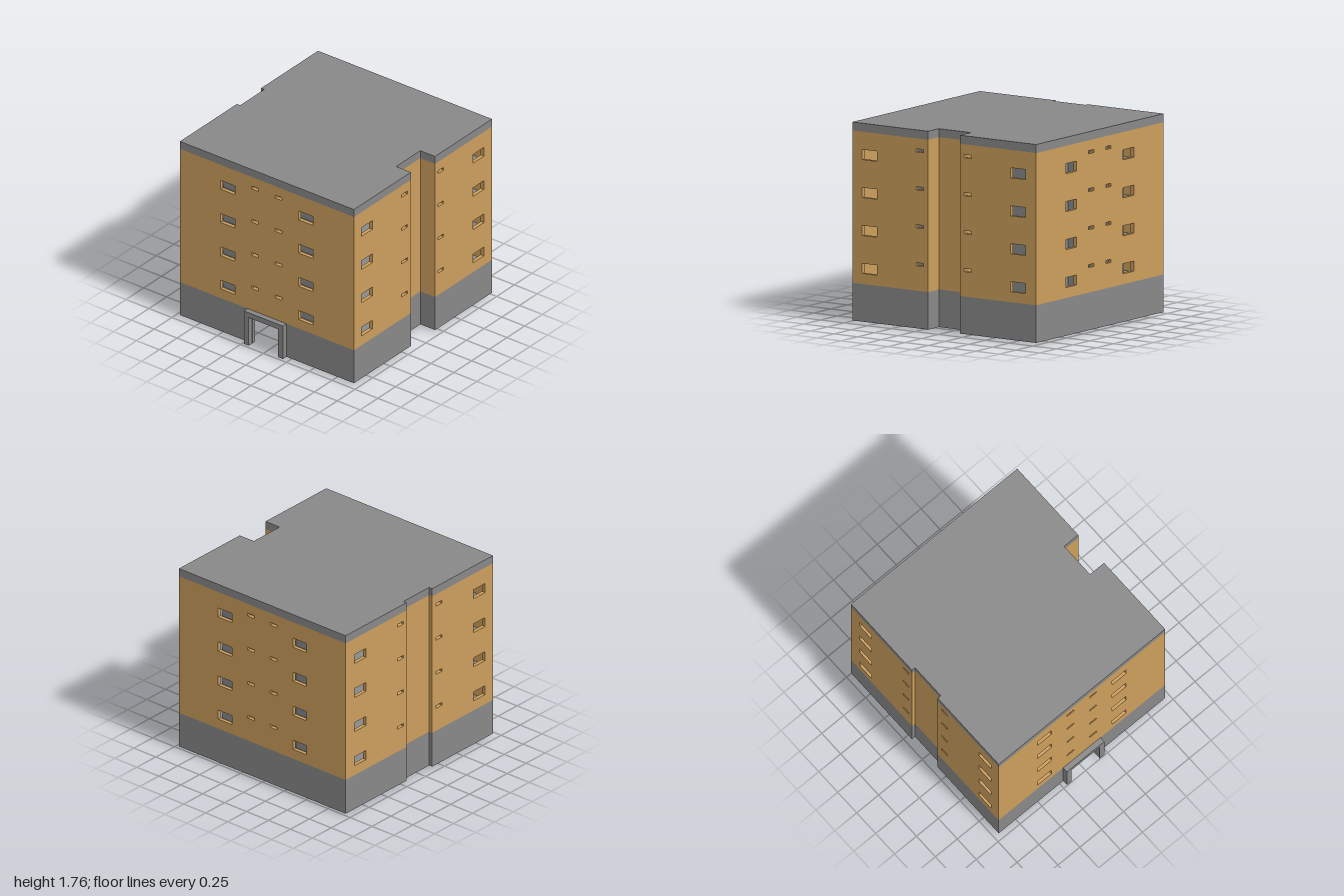
import * as THREE from 'three';

const WALL = 0.035;
const BOTTOM = 0.02, BASE_TOP = 0.35, BAND = 1.685, TOP = 1.76;
const LEVEL = 0.333;

// Footprint as [x, z] corners, shrunk inward by e
const footprint = (e = 0) => [
  [-0.95 + e, 0.95 - e], [-0.145 - e, 0.95 - e], [-0.145 - e, 0.79 - e],
  [0.195 + e, 0.79 - e], [0.195 + e, 0.95 - e], [1 - e, 0.95 - e],
  [1 - e, -0.95 + e], [0.195 + e, -0.95 + e], [0.195 + e, -0.915 + e],
  [-0.145 - e, -0.915 + e], [-0.145 - e, -0.95 + e], [-0.95 + e, -0.95 + e],
];

export function createModel() {
  const grey = new THREE.MeshStandardMaterial({ color: 0x888888 });
  grey.name = 'concrete grey';
  const tan = new THREE.MeshStandardMaterial({ color: 0xcb9e5c });
  tan.name = 'ochre render';
  const model = new THREE.Group();
  model.name = 'apartmentBlock';

  const add = (name, geometry, material) => {
    const mesh = new THREE.Mesh(geometry, material);
    mesh.name = name;
    model.add(mesh);
    return mesh;
  };

  // Box given by its limits on each axis
  const box = (name, x0, x1, y0, y1, z0, z1) => {
    const g = new THREE.BoxGeometry(x1 - x0, y1 - y0, z1 - z0);
    g.translate((x0 + x1) / 2, (y0 + y1) / 2, (z0 + z1) / 2);
    return add(name, g, grey);
  };

  // Horizontal slab following the footprint
  const slab = (name, y0, y1, e) => {
    const shape = new THREE.Shape(footprint(e).map(([x, z]) => new THREE.Vector2(x, -z)));
    const g = new THREE.ExtrudeGeometry(shape, { depth: y1 - y0, bevelEnabled: false });
    g.rotateX(-Math.PI / 2);
    g.translate(0, y0, 0);
    return add(name, g, grey);
  };

  const rect = (path, x0, x1, y0, y1) =>
    path.moveTo(x0, y0).lineTo(x1, y0).lineTo(x1, y1).lineTo(x0, y1).closePath();

  // Upright wall from p to q, thickened inward; holes are [u0, u1, y0, y1]
  const wall = (name, material, p, q, y0, y1, holes = []) => {
    const dx = q[0] - p[0], dz = q[1] - p[1];
    const shape = rect(new THREE.Shape(), 0, Math.hypot(dx, dz), y0, y1);
    for (const h of holes) shape.holes.push(rect(new THREE.Path(), ...h));
    const g = new THREE.ExtrudeGeometry(shape, { depth: WALL, bevelEnabled: false });
    g.translate(0, 0, -WALL);
    g.rotateY(Math.atan2(-dz, dx));
    g.translate(p[0], 0, p[1]);
    return add(name, g, material);
  };

  // Window spans along x (front and back) and along z (both sides)
  const spansX = { large: [[-0.845, -0.69], [0.73, 0.885]], small: [[-0.275, -0.195], [0.235, 0.315]] };
  const spansZ = { large: [[-0.505, -0.347], [0.347, 0.505]], small: [[-0.167, -0.09], [0.09, 0.167]] };

  // Window holes that fall on the wall from p to q
  const windows = (p, q) => {
    const axis = Math.abs(q[0] - p[0]) > Math.abs(q[1] - p[1]) ? 0 : 1;
    const spans = axis === 0 ? spansX : spansZ;
    const lo = Math.min(p[axis], q[axis]), hi = Math.max(p[axis], q[axis]);
    const holes = [];
    for (const kind of ['large', 'small']) {
      for (const [a, b] of spans[kind]) {
        if (a < lo || b > hi) continue;
        const u = [Math.abs(a - p[axis]), Math.abs(b - p[axis])].sort((m, n) => m - n);
        for (let i = 0; i < 4; i++) {
          const y = LEVEL * i + (kind === 'large' ? 0.442 : 0.568);
          holes.push([u[0], u[1], y, y + (kind === 'large' ? 0.088 : 0.027)]);
        }
      }
    }
    return holes;
  };

  // Outer walls: ochre storeys over a grey ground floor
  const corners = footprint();
  corners.forEach((p, i) => {
    const q = corners[(i + 1) % corners.length];
    const long = Math.hypot(q[0] - p[0], q[1] - p[1]) > 0.5;
    wall('upperWall', tan, p, q, BASE_TOP, BAND, long ? windows(p, q) : []);
    if (i < corners.length - 1) wall('groundWall', grey, p, q, BOTTOM, BASE_TOP);
  });
  // Ground wall on the gateway side, split round the opening
  wall('groundWallBack', grey, [-0.95, -0.95], [-0.95, -0.16], BOTTOM, BASE_TOP);
  wall('groundWallFront', grey, [-0.95, 0.16], [-0.95, 0.95], BOTTOM, BASE_TOP);
  wall('gatewayLintel', grey, [-0.95, -0.16], [-0.95, 0.16], 0.3, BASE_TOP);

  // Gateway surround
  box('gatewayBeam', -1, -0.95, 0.3, BASE_TOP, -0.213, 0.213);
  for (const s of [-1, 1]) {
    box('gatewayPost', -1, -0.95, BOTTOM, 0.3, s * 0.187 - 0.026, s * 0.187 + 0.026);
  }

  // Roof and storey floors
  slab('roof', BAND, TOP, 0);
  for (let i = 0; i < 4; i++) {
    const y = BASE_TOP + LEVEL * i;
    slab('floorSlab', y - 0.02, y, 0.02);
  }

  // Rooms of the upper storeys, either side of an open cross corridor
  for (const s of [-1, 1]) {
    const span = (a, b) => (s > 0 ? [a, b] : [-b, -a]);
    box('corridorWall', -0.92, 0.97, BASE_TOP, BAND, ...span(0.22, 0.24));
    box('innerRooms', -0.785, 0.83, BASE_TOP, BAND, ...span(0.24, 0.6));
  }

  // Ground floor partitions
  box('longPartition', 0.2, 0.225, BOTTOM, 0.34, -0.92, 0.78);
  box('storeFrontWall', -0.92, -0.1, BOTTOM, 0.34, -0.63, -0.605);
  box('storeSideWall', -0.17, -0.145, BOTTOM, 0.34, -0.92, -0.63);
  box('entranceWall', -0.17, -0.145, BOTTOM, 0.34, 0.38, 0.78);

  // Entrance threshold
  box('threshold', -0.18, 0.225, 0, BOTTOM, 0.355, 0.395);

  // Stairs
  for (let i = 0; i < 7; i++) {
    const z = -0.55 - i * 0.05;
    box('stairStep', -0.13, 0.04, 0.03 + i * 0.042, 0.072 + i * 0.042, z - 0.05, z);
  }

  return model;
}
